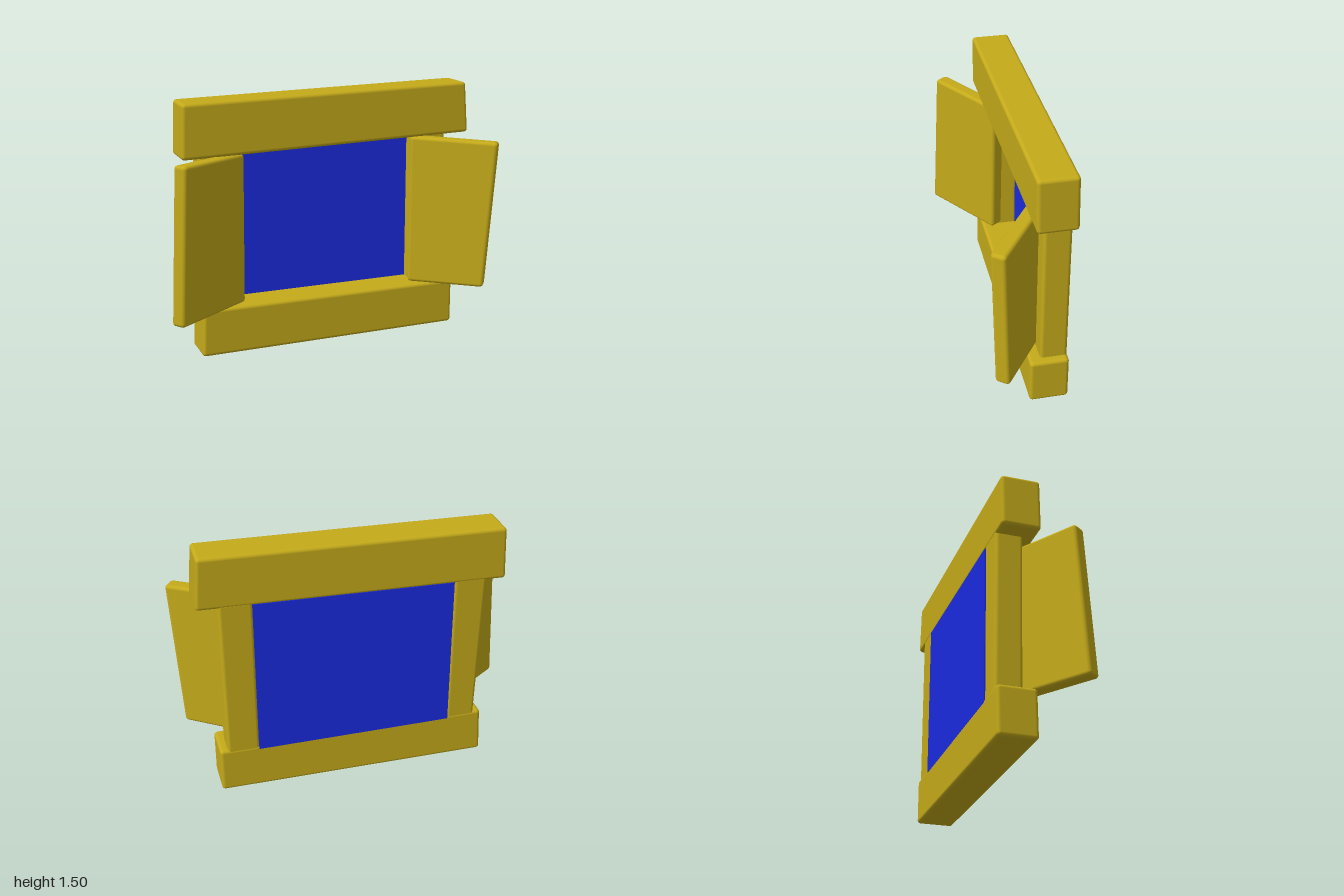
import * as THREE from 'three';
import { RoundedBoxGeometry } from 'three/addons/geometries/RoundedBoxGeometry.js';

const wood = new THREE.MeshStandardMaterial({ color: 0xc4aa1a });
const glass = new THREE.MeshStandardMaterial({ color: 0x1a2be0 });

// Rounded plank whose front outline is a crooked quad
// (corners: bottom left, bottom right, top right, top left), from z0 to z1
function plank(name, quad, z0, z1, radius = 0.02) {
  const [bl, br, tr, tl] = quad;
  const w = br[0] - bl[0], h = tl[1] - bl[1];
  const geometry = new RoundedBoxGeometry(w, h, z1 - z0, 4, radius);
  const p = geometry.attributes.position;
  for (let i = 0; i < p.count; i++) {
    const u = p.getX(i) / w + 0.5, v = p.getY(i) / h + 0.5;
    const mix = (k) => (1 - v) * ((1 - u) * bl[k] + u * br[k]) + v * ((1 - u) * tl[k] + u * tr[k]);
    p.setXYZ(i, mix(0), mix(1), p.getZ(i) + (z0 + z1) / 2);
  }
  const mesh = new THREE.Mesh(geometry, wood);
  mesh.name = name;
  return mesh;
}

export function createModel() {
  const model = new THREE.Group();
  model.name = 'window';

  // Lintel and sill
  model.add(
    plank('lintel', [[-0.865, 1.155], [0.885, 1.2], [0.862, 1.5], [-0.853, 1.465]], -0.24, -0.02),
    plank('sill', [[-0.78, 0], [0.805, 0.01], [0.805, 0.28], [-0.768, 0.28]], -0.24, -0.02)
  );

  // Upright posts between them
  model.add(
    plank('rightPost', [[-0.725, 0.25], [-0.555, 0.25], [-0.56, 1.2], [-0.755, 1.2]], -0.238, -0.085),
    plank('leftPost', [[0.575, 0.25], [0.76, 0.25], [0.765, 1.22], [0.575, 1.22]], -0.238, -0.085)
  );

  // Pane, nearly flush with the back of the frame
  const outline = new THREE.Shape(
    [[-0.56, 0.26], [0.58, 0.26], [0.58, 1.2], [-0.56, 1.17]].map(([x, y]) => new THREE.Vector2(x, y))
  );
  const pane = new THREE.Mesh(new THREE.ExtrudeGeometry(outline, { depth: 0.012, bevelEnabled: false }), glass);
  pane.name = 'pane';
  pane.position.z = -0.2405;
  model.add(pane);

  // Open shutters, each turned about its inner front edge
  const rightShutter = plank('rightShutter',
    [[-0.56, 0.288], [-0.015, 0.288], [0, 1.158], [-0.5, 1.172]], -0.086, 0);
  rightShutter.position.set(-0.49, 0, -0.08);
  rightShutter.rotation.y = THREE.MathUtils.degToRad(34.6);

  const leftShutter = plank('leftShutter',
    [[0, 0.288], [0.46, 0.284], [0.52, 1.17], [0, 1.187]], -0.086, 0);
  leftShutter.position.set(0.525, 0, -0.07);
  leftShutter.rotation.y = THREE.MathUtils.degToRad(-35.7);

  model.add(rightShutter, leftShutter);
  return model;
}
